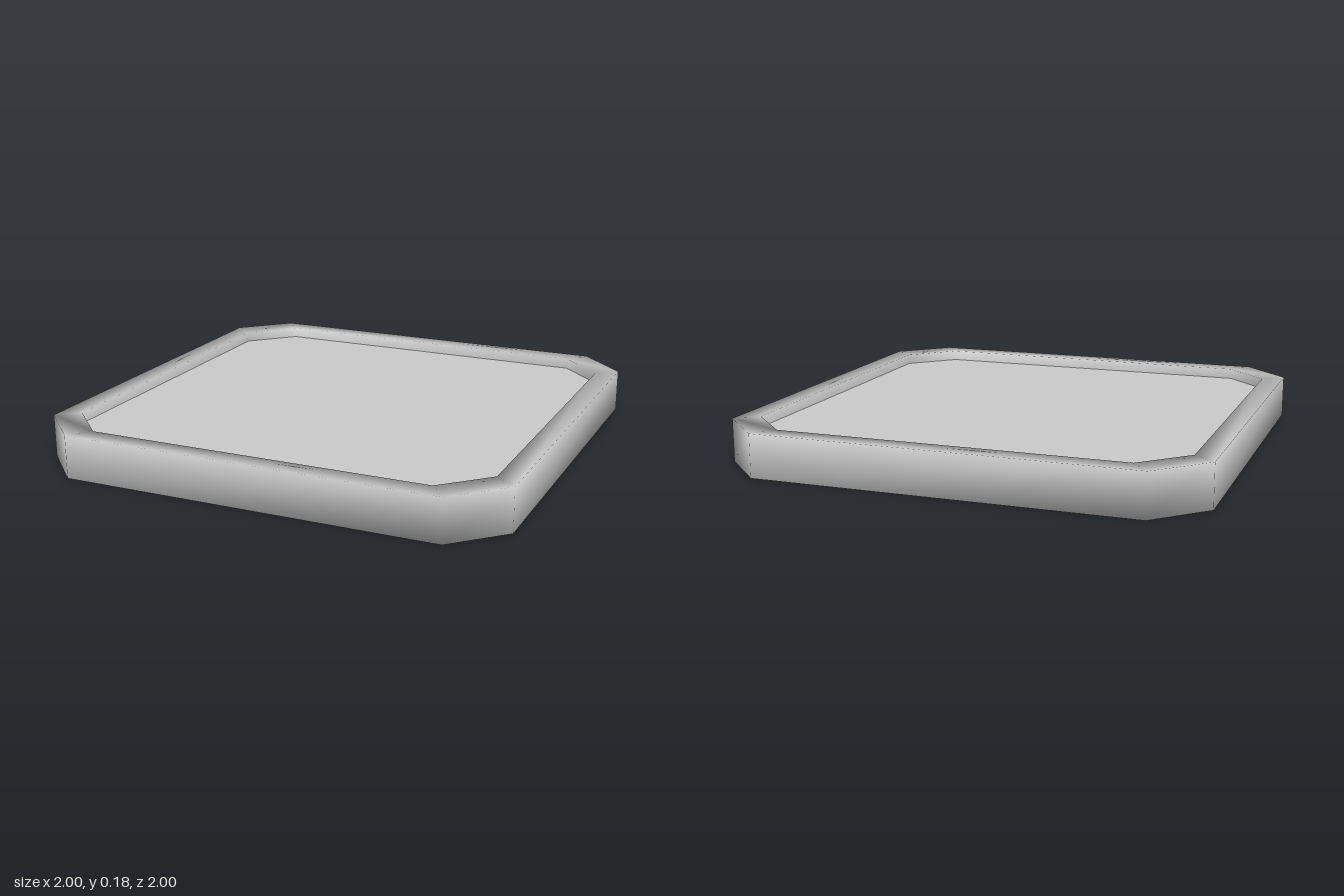
import * as THREE from 'three';

const HEIGHT = 2 / 11;
const INNER = 10 / 11; // inner outline as a fraction of the outer one

// Square outline with cut corners, counter-clockwise seen from above
function outline(scale) {
  const a = scale, b = 0.8 * scale;
  return [[a, -b], [a, b], [b, a], [-b, a], [-a, b], [-a, -b], [-b, -a], [b, -a]];
}

// Rim: a rectangular section swept round the outline, with shared smooth normals
function rimGeometry() {
  const section = [[1, 0], [1, HEIGHT], [INNER, HEIGHT], [INNER, 0]];
  const positions = [], index = [];
  for (const [scale, y] of section) {
    for (const [x, z] of outline(scale)) positions.push(x, y, -z);
  }
  for (let k = 0; k < 4; k++) {
    for (let i = 0; i < 8; i++) {
      const j = (i + 1) % 8, n = (k + 1) % 4;
      const a = k * 8 + i, b = k * 8 + j, c = n * 8 + j, d = n * 8 + i;
      index.push(a, b, c, a, c, d);
    }
  }
  const geometry = new THREE.BufferGeometry();
  geometry.setAttribute('position', new THREE.Float32BufferAttribute(positions, 3));
  geometry.setIndex(index);
  geometry.computeVertexNormals();
  return geometry;
}

// Panel: flat slab recessed equally from the top and bottom of the rim
function panelGeometry() {
  const shape = new THREE.Shape(outline(INNER).map(([x, y]) => new THREE.Vector2(x, y)));
  const geometry = new THREE.ExtrudeGeometry(shape, { depth: HEIGHT / 2, bevelEnabled: false });
  geometry.rotateX(-Math.PI / 2);
  geometry.translate(0, HEIGHT / 4, 0);
  return geometry;
}

export function createModel() {
  const group = new THREE.Group();
  group.name = 'framedPanel';
  const material = new THREE.MeshStandardMaterial({ color: 0xcccccc });
  const rim = new THREE.Mesh(rimGeometry(), material);
  rim.name = 'rim';
  const panel = new THREE.Mesh(panelGeometry(), material);
  panel.name = 'panel';
  group.add(rim, panel);
  return group;
}
